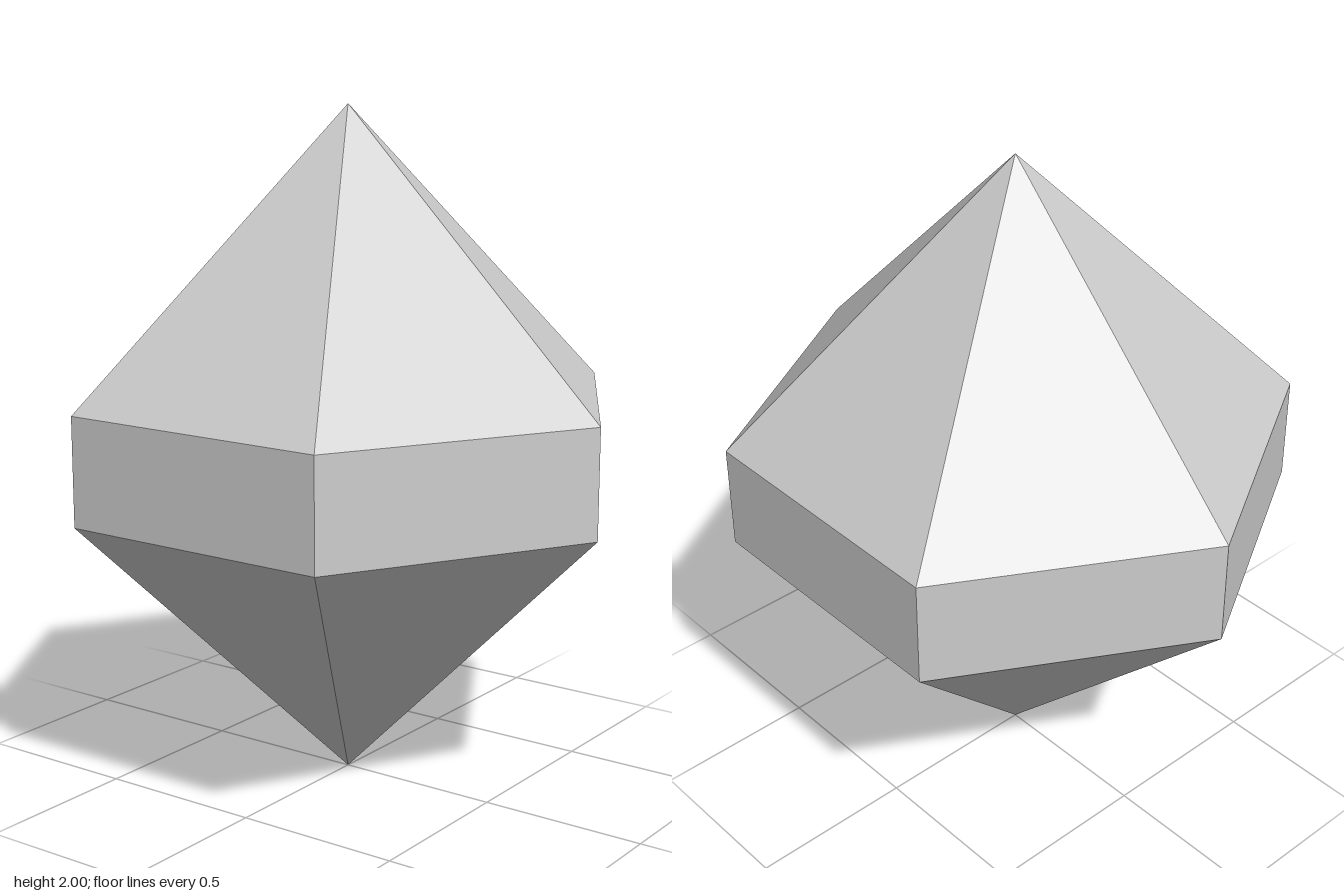
import * as THREE from 'three';

const RADIUS = 0.84;
const SIDES = 6;

export function createModel() {
  const group = new THREE.Group();
  group.name = 'crystal';
  const stone = new THREE.MeshStandardMaterial({ color: 0xcccccc, flatShading: true });
  stone.name = 'pale grey stone';

  // Each tier is an open six-sided frustum with corners on the x axis
  const addTier = (name, bottomRadius, topRadius, y0, y1) => {
    const geometry = new THREE.CylinderGeometry(
      topRadius, bottomRadius, y1 - y0, SIDES, 1, true, Math.PI / 2);
    const mesh = new THREE.Mesh(geometry, stone);
    mesh.name = name;
    mesh.position.y = (y0 + y1) / 2;
    group.add(mesh);
  };

  addTier('lowerPoint', 0, RADIUS, 0, 0.84);
  addTier('girdle', RADIUS, RADIUS, 0.84, 1.16);
  addTier('upperPoint', RADIUS, 0, 1.16, 2);

  return group;
}
